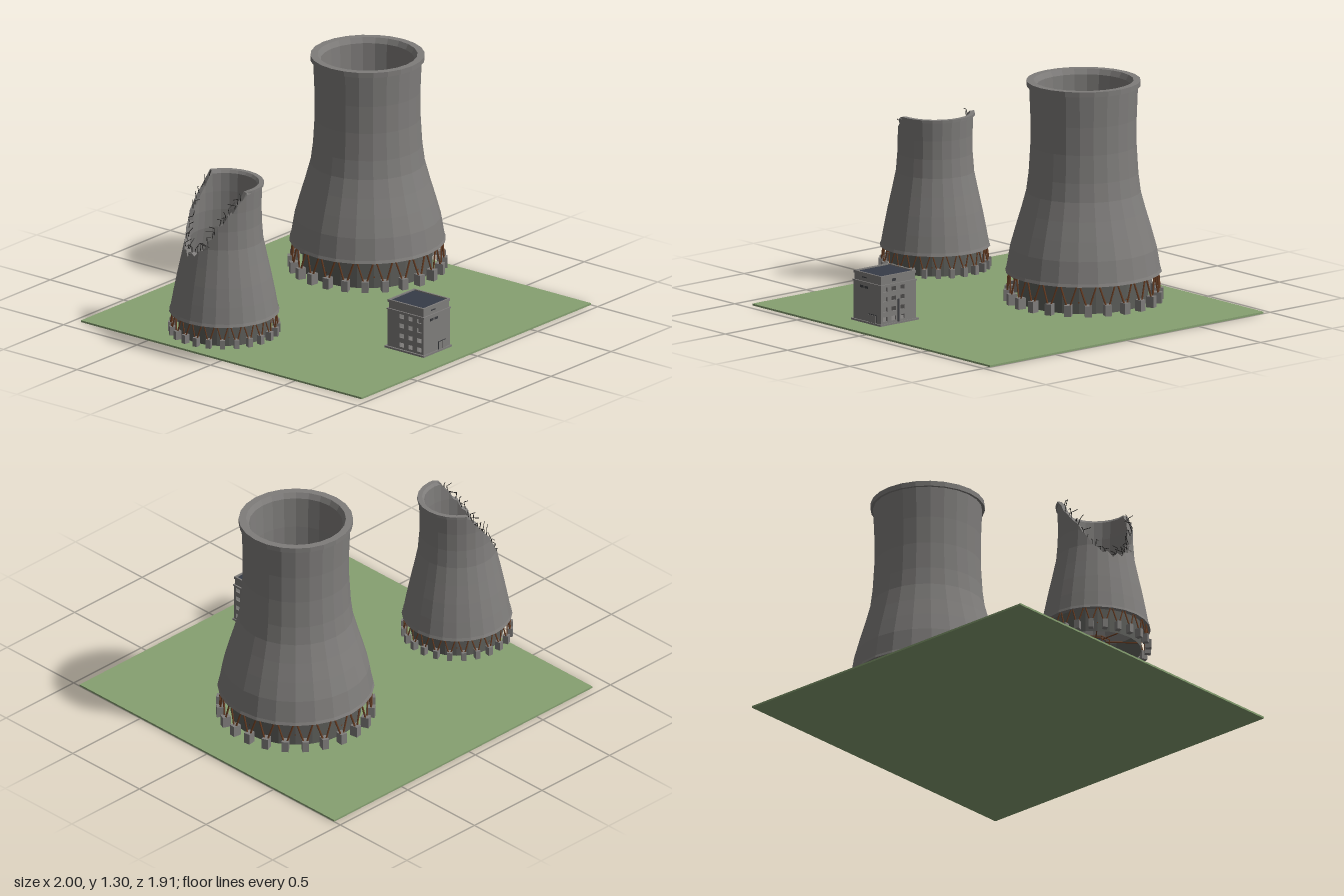
import * as THREE from 'three';

const mat = (name, color, extra = {}) => new THREE.MeshStandardMaterial({ name, color, ...extra });
const M = {
  grass: mat('grass', 0x86a071),
  concrete: mat('concrete', 0x7f7d7b, { flatShading: true, side: THREE.DoubleSide }),
  darkConcrete: mat('dark concrete', 0x5c5d59, { flatShading: true, side: THREE.DoubleSide }),
  rust: mat('rusty steel', 0x6b3f24),
  rebar: mat('rebar', 0x2a2928),
  slate: mat('slate', 0x363c47),
  glass: mat('dark opening', 0x3c3d40),
};
const SIDES = 24;

// Small seeded random
let seed = 7;
const rnd = () => (seed = (seed * 16807) % 2147483647) / 2147483647;

function add(parent, name, geo, material, x = 0, y = 0, z = 0) {
  const m = new THREE.Mesh(geo, material);
  m.name = name;
  m.position.set(x, y, z);
  parent.add(m);
  return m;
}
// Box given by its limits
const box = (p, name, material, x0, x1, y0, y1, z0, z1) =>
  add(p, name, new THREE.BoxGeometry(x1 - x0, y1 - y0, z1 - z0), material,
    (x0 + x1) / 2, (y0 + y1) / 2, (z0 + z1) / 2);

const polar = (r, y, a) => new THREE.Vector3(r * Math.sin(a), y, r * Math.cos(a));

// Thin bar between two points
function bar(p, name, material, a, b, r, sides = 4) {
  const m = add(p, name, new THREE.CylinderGeometry(r, r, a.distanceTo(b), sides), material);
  m.position.copy(a).add(b).multiplyScalar(0.5);
  m.quaternion.setFromUnitVectors(new THREE.Vector3(0, 1, 0), b.clone().sub(a).normalize());
}

// Straight-line lookup in a list of [key, value] pairs
function lookup(list, k) {
  if (k <= list[0][0]) return list[0][1];
  for (let i = 1; i < list.length; i++) {
    const [k0, v0] = list[i - 1], [k1, v1] = list[i];
    if (k <= k1) return v0 + (v1 - v0) * (k - k0) / (k1 - k0);
  }
  return list[list.length - 1][1];
}

// Shell: outer wall, lip and inner wall turned as one closed profile
function shellGeometry(t) {
  const outer = t.profile.map(([y, r]) => new THREE.Vector2(r, y));
  const [yTop, rTop] = t.profile[t.profile.length - 1];
  const [yBot, rBot] = t.profile[0];
  const lip = [[rTop + t.lip, yTop], [rTop + t.lip, yTop + t.lipH], [rTop - t.wall * 0.6, yTop + t.lipH]]
    .map(([r, y]) => new THREE.Vector2(r, y));
  const inner = t.profile.map(([y, r]) => new THREE.Vector2(r - t.wall, y)).reverse();
  const pts = [...outer, ...lip, ...inner, new THREE.Vector2(rBot, yBot)];
  const segs = t.cut ? SIDES * 2 : SIDES;
  const geo = new THREE.LatheGeometry(pts, segs);
  if (t.cut) {
    // Pull everything above the break line down onto it
    const pos = geo.attributes.position;
    for (let i = 0; i < pos.count; i++) {
      const col = Math.floor(i / pts.length), j = i % pts.length;
      const a = (col % segs) * Math.PI * 2 / segs;
      const flat = col % 2 ? Math.cos(Math.PI / SIDES) : 1;
      let { x: r, y } = pts[j];
      const c = t.cut(a);
      if (y > c) {
        y = c;
        r = lookup(t.profile, c) - (j < outer.length + 2 ? 0 : t.wall);
      }
      const v = polar(r * flat, y, a);
      pos.setXYZ(i, v.x, v.y, v.z);
    }
  }
  return geo;
}

function tower(name, t) {
  const g = new THREE.Group();
  g.name = name;
  const [yShell, rShell] = t.profile[0];
  add(g, 'shell', shellGeometry(t), M.concrete);
  add(g, 'shellBand', new THREE.CylinderGeometry(rShell * 0.995, rShell + 0.004, 0.016, SIDES, 1, true),
    M.concrete, 0, yShell + 0.006, 0);

  // Basin wall behind the struts
  const rWall = rShell * 0.84, wallH = yShell + 0.02 - t.y0;
  add(g, 'basinWall', new THREE.CylinderGeometry(rWall, rWall, wallH, SIDES, 1, true),
    M.darkConcrete, 0, t.y0 + wallH / 2, 0);

  // Footings and V struts
  const step = Math.PI * 2 / SIDES;
  for (let i = 0; i < SIDES; i++) {
    const a = (i + 0.5) * step;
    const p = polar(rShell - t.foot * 0.3, t.y0 + t.footH / 2, a);
    const f = add(g, 'footing', new THREE.BoxGeometry(t.foot, t.footH, t.foot * 1.25), M.concrete, p.x, p.y, p.z);
    f.rotation.y = a;
    for (const s of [-0.45, 0.45]) {
      bar(g, 'strut', M.rust, polar(rShell - t.foot * 0.2, t.y0 + t.footH - 0.005, a + s * 0.2 * step),
        polar(rShell - 0.015, yShell + 0.008, a + s * step), t.bar);
    }
  }

  // Core with spokes and ring beams
  const yc = t.y0 + t.footH;
  add(g, 'core', new THREE.CylinderGeometry(t.core, t.core, t.footH, 8), M.slate, 0, t.y0 + t.footH / 2, 0)
    .rotation.y = Math.PI / 8;
  for (let i = 0; i < 8; i++) {
    const a = i * Math.PI / 4;
    bar(g, 'spoke', M.rust, polar(t.core * 0.9, yc, a), polar(rWall, yc, a), t.bar * 0.9);
    for (const k of [1.05, 1.45]) {
      bar(g, 'ringBeam', M.rust, polar(t.core * k, yc, a - Math.PI / 8),
        polar(t.core * k, yc, a + Math.PI / 8), t.bar * 0.8);
    }
    bar(g, 'corePost', M.rust, polar(t.core * 1.45, t.y0, a + Math.PI / 8),
      polar(t.core * 1.45, yc, a + Math.PI / 8), t.bar * 0.8);
  }
  for (const s of [-0.4, 0, 0.4]) {
    const e = t.core * 0.8, q = t.core * s;
    bar(g, 'coreGrate', M.rust, new THREE.Vector3(-e, yc, q), new THREE.Vector3(e, yc, q), t.bar * 0.5);
    bar(g, 'coreGrate', M.rust, new THREE.Vector3(q, yc, -e), new THREE.Vector3(q, yc, e), t.bar * 0.5);
  }
  return g;
}

// Break line of the ruined tower, measured from the deepest point
const breakDir = Math.atan2(-0.93, -0.37);
const breakLine = [[0, 0.54], [22, 0.57], [40, 0.65], [54, 0.73], [70, 0.79], [85, 0.85], [100, 0.92]];
const breakCut = (a) => {
  const d = Math.acos(Math.cos(a - breakDir)) * 180 / Math.PI;
  return d > 98 ? 9 : lookup(breakLine, d) + 0.012 * Math.sin(a * 23);
};

// Bent reinforcing bars sticking out of the break
function rebarFringe(g, t) {
  for (let d = -92; d <= 92; d += 6) {
    const a = breakDir + d * Math.PI / 180, y = t.cut(a), r = lookup(t.profile, y) - t.wall / 2;
    const p0 = polar(r, y - 0.02, a);
    const p1 = polar(r + (rnd() - 0.6) * 0.03, y + 0.015 + rnd() * 0.025, a + (rnd() - 0.5) * 0.15);
    const p2 = polar(r + (rnd() - 0.7) * 0.06, y + 0.02 + rnd() * 0.03, a + (rnd() - 0.5) * 0.4);
    bar(g, 'rebar', M.rebar, p0, p1, 0.0025);
    bar(g, 'rebar', M.rebar, p1, p2, 0.002);
  }
}

function building() {
  const g = new THREE.Group();
  g.name = 'building';
  const X0 = -0.24, X1 = -0.02, Z0 = 0.585, Z1 = 0.83, w = 0.01;
  box(g, 'plinth', M.concrete, X0 - 0.01, X1 + 0.005, 0.022, 0.032, 0.57, 0.838);
  box(g, 'frontWall', M.concrete, X0, X1, 0.03, 0.24, Z1 - w, Z1);
  box(g, 'backWall', M.concrete, X0, X1, 0.03, 0.24, Z0, Z0 + w);
  // Side walls with open window holes
  const wall = new THREE.Shape([[Z0, 0.03], [Z1, 0.03], [Z1, 0.24], [Z0, 0.24]]
    .map(([z, y]) => new THREE.Vector2(-z, y)));
  for (const z of [0.8, 0.74, 0.68]) for (const y of [0.056, 0.107, 0.163, 0.215]) {
    wall.holes.push(new THREE.Path([[-1, -1], [-1, 1], [1, 1], [1, -1]]
      .map(([i, j]) => new THREE.Vector2(-z + i * 0.015, y + j * 0.012))));
  }
  const side = new THREE.ExtrudeGeometry(wall, { depth: w, bevelEnabled: false });
  side.rotateY(Math.PI / 2);
  add(g, 'sideWall', side, M.concrete, X0);
  add(g, 'sideWall', side, M.concrete, X1 - w);

  // Cornice, upper storey, parapet and roof
  box(g, 'cornice', M.concrete, X0 - 0.004, X1 + 0.004, 0.236, 0.243, Z0 - 0.004, Z1 + 0.004);
  box(g, 'upperStorey', M.concrete, X0 + 0.004, X1 - 0.004, 0.243, 0.28, Z0 + 0.004, Z1 - 0.004);
  box(g, 'roof', M.slate, X0 + 0.01, X1 - 0.01, 0.28, 0.285, Z0 + 0.01, Z1 - 0.01);
  for (const x of [X0, X1 - w]) box(g, 'parapet', M.concrete, x, x + w, 0.277, 0.291, Z0, Z1);
  for (const z of [Z0, Z1 - w]) box(g, 'parapet', M.concrete, X0 + w, X1 - w, 0.277, 0.291, z, z + w);

  // Front openings, door frame and side details
  for (const x of [-0.173, -0.137]) box(g, 'frontWindow', M.glass, x - 0.014, x + 0.014, 0.208, 0.221, Z1 - 0.002, Z1 + 0.002);
  box(g, 'vent', M.glass, -0.175, -0.14, 0.262, 0.268, Z1 - 0.006, Z1 - 0.002);
  box(g, 'doorFrame', M.glass, -0.12, -0.055, 0.032, 0.077, Z1 - 0.002, Z1 + 0.002);
  for (const x of [-0.103, -0.072]) box(g, 'doorLeaf', M.concrete, x - 0.014, x + 0.014, 0.032, 0.073, Z1, Z1 + 0.004);
  box(g, 'sideVent', M.glass, X1 - 0.006, X1 - 0.002, 0.255, 0.27, 0.725, 0.75);
  box(g, 'drainpipe', M.glass, X1 - 0.002, X1 + 0.004, 0.03, 0.155, 0.706, 0.714);
  return g;
}

export function createModel() {
  const model = new THREE.Group();
  model.name = 'coolingTowerSite';
  box(model, 'ground', M.grass, -0.91, 1, 0, 0.01, -0.955, 0.955);

  const big = tower('intactTower', {
    profile: [[0.27, 0.41], [0.4, 0.388], [0.5, 0.36], [0.6, 0.33], [0.7, 0.303], [0.8, 0.29], [0.95, 0.281], [1.1, 0.281], [1.27, 0.288]],
    wall: 0.04, lip: 0.014, lipH: 0.028, y0: 0.11, footH: 0.06, foot: 0.036, bar: 0.006, core: 0.09,
  });
  big.position.set(0.485, 0, -0.145);

  const ruin = {
    profile: [[0.2, 0.288], [0.3, 0.27], [0.4, 0.25], [0.5, 0.228], [0.6, 0.207], [0.7, 0.199], [0.8, 0.198], [0.9, 0.202]],
    wall: 0.028, lip: 0.008, lipH: 0.015, y0: 0.08, footH: 0.048, foot: 0.026, bar: 0.0045, core: 0.055, cut: breakCut,
  };
  const small = tower('brokenTower', ruin);
  rebarFringe(small, ruin);
  small.position.set(-0.708, 0, -0.145);

  model.add(big, small, building());
  return model;
}
